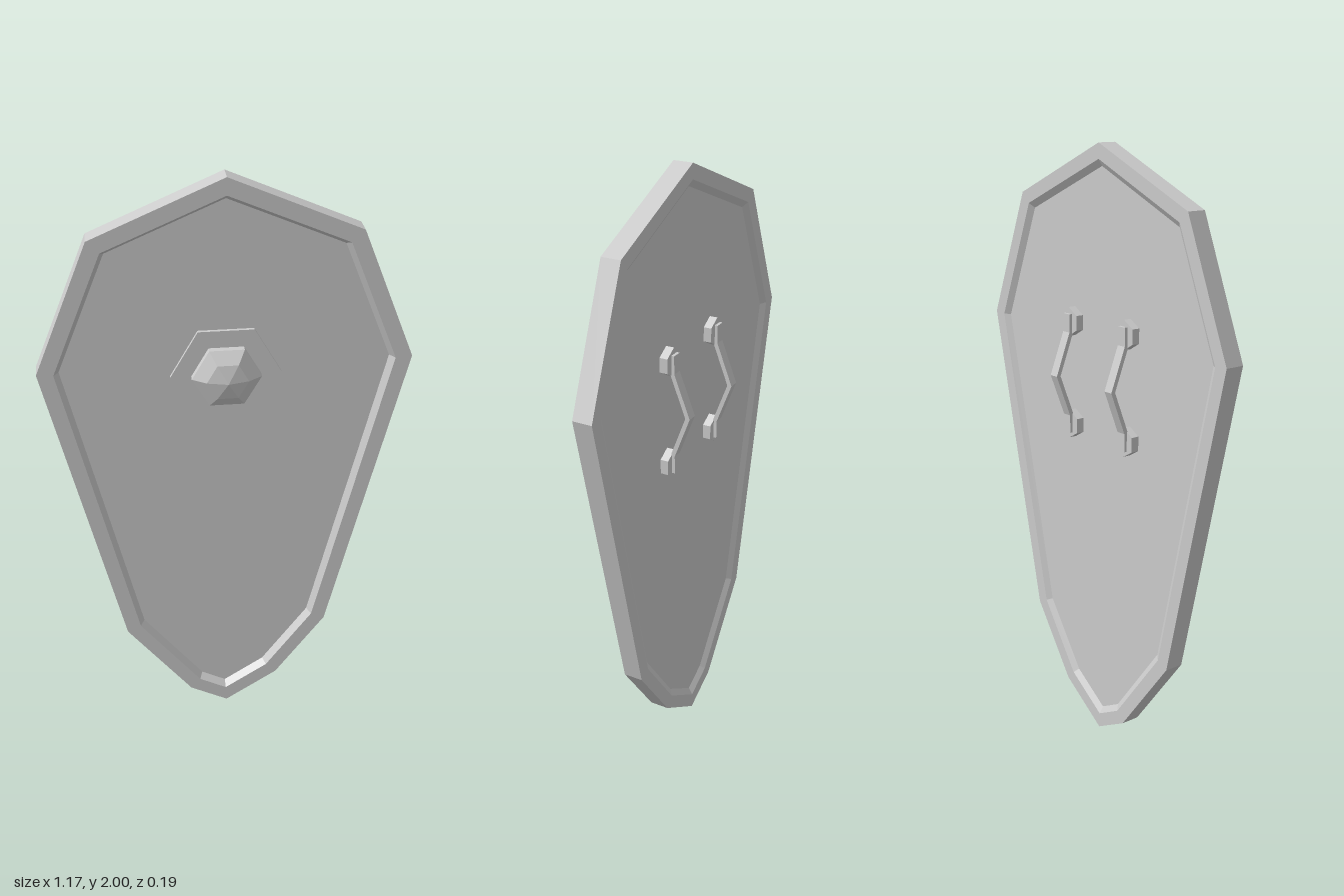
import * as THREE from 'three';

const BACK = -0.022, FRONT = 0.043;            // rim faces
const PANEL_BACK = -0.008, PANEL_FRONT = 0.018; // recessed panel faces
const BOSS_Y = 1.36;

// Rim outline, clockwise seen from the front
const OUTLINE = [
  [0, 2], [0.41, 1.825], [0.585, 1.4], [0.35, 0.36], [0.18, 0.12],
  [0, 0], [-0.13, 0.07], [-0.35, 0.36], [-0.585, 1.4], [-0.41, 1.825],
].map(([x, y]) => new THREE.Vector2(x, y));

// Move an outline inwards with mitred corners
function inset(points, d) {
  const n = points.length;
  const normals = points.map((p, i) => {
    const e = points[(i + 1) % n].clone().sub(p).normalize();
    return new THREE.Vector2(e.y, -e.x);
  });
  return points.map((p, i) => {
    const a = normals[(i + n - 1) % n], b = normals[i];
    return p.clone().add(a.clone().add(b).multiplyScalar(d / (1 + a.dot(b))));
  });
}

// Closed ring skinned through loops of [outline, z]
function ringGeometry(loops) {
  const pos = [], n = OUTLINE.length;
  loops.forEach(([near, zn], k) => {
    const [far, zf] = loops[(k + 1) % loops.length];
    for (let i = 0; i < n; i++) {
      const j = (i + 1) % n;
      const a = [near[i].x, near[i].y, zn], b = [near[j].x, near[j].y, zn];
      const c = [far[j].x, far[j].y, zf], d = [far[i].x, far[i].y, zf];
      pos.push(...a, ...b, ...c, ...a, ...c, ...d);
    }
  });
  const g = new THREE.BufferGeometry();
  g.setAttribute('position', new THREE.Float32BufferAttribute(pos, 3));
  g.computeVertexNormals();
  return g;
}

export function createModel() {
  const group = new THREE.Group();
  group.name = 'shield';
  const material = new THREE.MeshStandardMaterial({ color: 0xcccccc, flatShading: true });
  const add = (name, geometry, parent = group) => {
    const mesh = new THREE.Mesh(geometry, material);
    mesh.name = name;
    parent.add(mesh);
    return mesh;
  };

  // Rim with bevelled inner edges
  const panelEdge = inset(OUTLINE, 0.065);
  add('rim', ringGeometry([
    [OUTLINE, FRONT], [OUTLINE, BACK], [inset(OUTLINE, 0.045), BACK],
    [panelEdge, PANEL_BACK], [panelEdge, PANEL_FRONT], [inset(OUTLINE, 0.05), FRONT],
  ]));

  // Recessed panel
  const panel = new THREE.ExtrudeGeometry(new THREE.Shape(inset(OUTLINE, 0.06)),
    { depth: PANEL_FRONT - PANEL_BACK, bevelEnabled: false });
  add('panel', panel.translate(0, 0, PANEL_BACK));

  // Four shallow ridges running from the boss to the rim
  for (const side of [1, -1]) {
    for (const [x, y] of [[0.415, 1.755], [0.43, 0.89]]) {
      const dx = side * x, dy = y - BOSS_Y;
      const section = new THREE.Shape([
        new THREE.Vector2(-0.045, 0), new THREE.Vector2(0.045, 0), new THREE.Vector2(0, 0.01),
      ]);
      const ridge = new THREE.ExtrudeGeometry(section, { depth: Math.hypot(dx, dy), bevelEnabled: false });
      ridge.rotateX(Math.PI / 2).scale(1, -1, -1); // length along +y, crest to +z
      ridge.rotateZ(Math.atan2(dy, dx) - Math.PI / 2);
      add('ridge', ridge.translate(0, BOSS_Y, PANEL_FRONT));
    }
  }

  // Hexagonal plate and faceted boss
  const plate = new THREE.CylinderGeometry(0.175, 0.175, 0.012, 6);
  plate.rotateY(Math.PI / 6).rotateX(Math.PI / 2);
  add('bossPlate', plate.translate(0, BOSS_Y, PANEL_FRONT + 0.005));

  const profile = [[0.11, PANEL_FRONT], [0.11, 0.05], [0.066, 0.079], [0, 0.095]];
  const boss = new THREE.LatheGeometry(profile.map(([r, z]) => new THREE.Vector2(r, z)), 6);
  boss.rotateY(Math.PI / 6).rotateX(Math.PI / 2);
  add('boss', boss.translate(0, BOSS_Y, 0));

  // Two bent grips, each on a pair of hexagonal mounts
  const gripY = 1.255;
  const half = [[0.03, 0.2], [0.045, 0.2], [0.045, 0.14], [0.098, 0]];
  const inner = [[0.045, -0.14], [0.045, -0.2], [0.03, -0.2], [0.03, -0.14], [0.083, 0], [0.03, 0.14]];
  const gripShape = new THREE.Shape([...half, ...inner].map(([u, v]) => new THREE.Vector2(u, v)));
  for (const side of [1, -1]) {
    const handle = new THREE.Group();
    handle.name = side > 0 ? 'leftHandle' : 'rightHandle';
    handle.position.set(side * 0.142, gripY, 0);
    group.add(handle);
    const grip = new THREE.ExtrudeGeometry(gripShape, { depth: 0.034, bevelEnabled: false });
    add('grip', grip.translate(0, 0, -0.017).rotateY(Math.PI / 2), handle);
    for (const end of [1, -1]) {
      const mount = new THREE.CylinderGeometry(0.048, 0.048, 0.027, 6).rotateX(Math.PI / 2);
      add('handleMount', mount.translate(0, end * 0.173, -0.0215), handle);
    }
  }
  return group;
}
